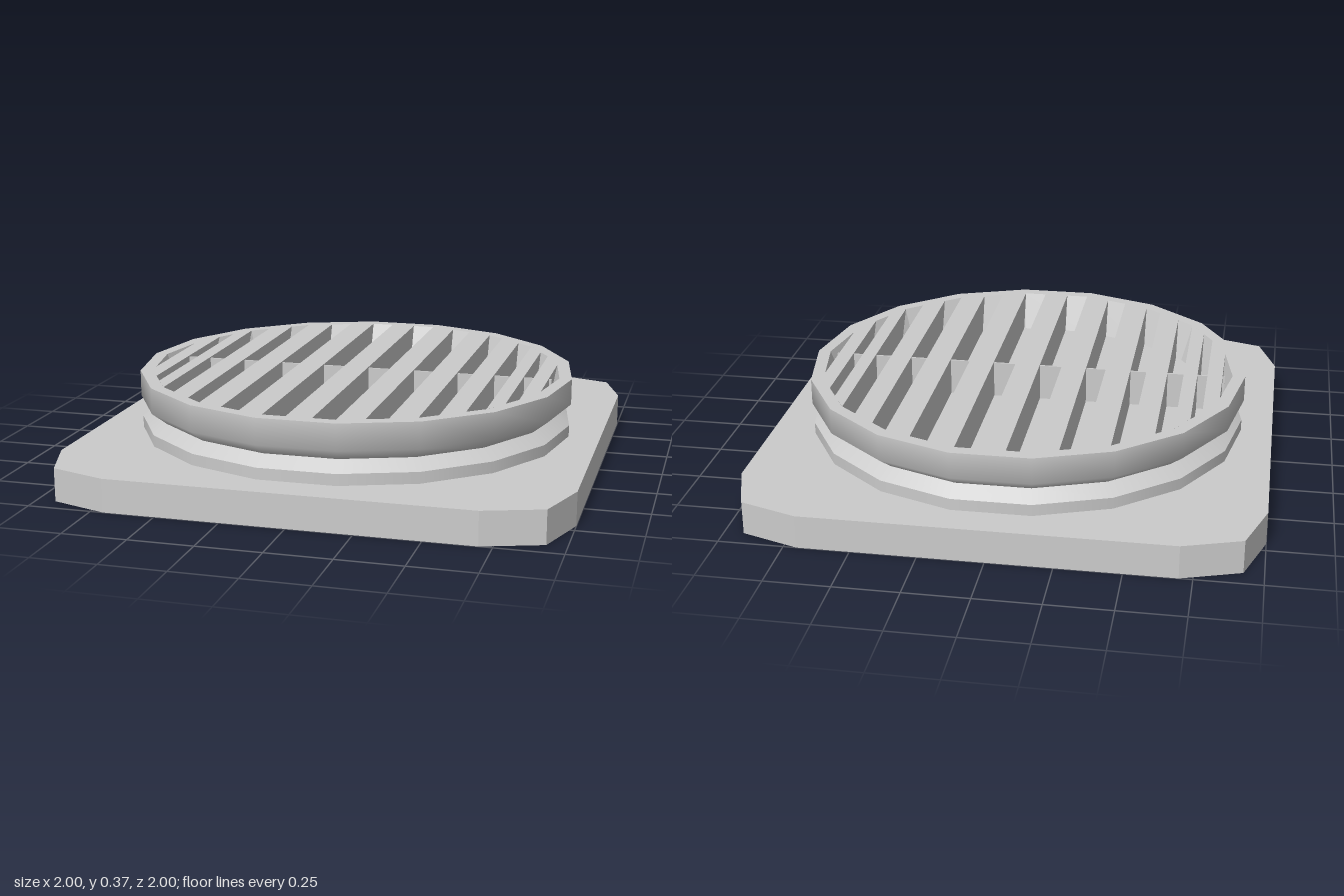
import * as THREE from 'three';

const SIDES = 18;
const TOP = 0.365, FLOOR = 0.215, BASE = 0.13;
const R_TOP = 0.83, R_FLOOR = 0.777; // inner bowl radii

const smooth = new THREE.MeshStandardMaterial({ color: 0xcccccc });
const flat = new THREE.MeshStandardMaterial({ color: 0xcccccc, flatShading: true });

function add(group, name, geometry, material) {
  const mesh = new THREE.Mesh(geometry, material);
  mesh.name = name;
  group.add(mesh);
  return mesh;
}

// One revolved band; separate bands keep a sharp edge between them
function band(group, name, points, material = smooth) {
  const profile = points.map(([r, y]) => new THREE.Vector2(r, y));
  return add(group, name, new THREE.LatheGeometry(profile, SIDES, Math.PI / 2), material);
}

// Extrude an outline of [x, z] points upwards from y0 to y1
function slab(outline, y0, y1) {
  const shape = new THREE.Shape(outline.map(([x, z]) => new THREE.Vector2(x, z)));
  const geometry = new THREE.ExtrudeGeometry(shape, { depth: y1 - y0, bevelEnabled: false });
  return geometry.rotateX(-Math.PI / 2).translate(0, y0, 0);
}

// Half depth in z of the 18-sided polygon of radius r at a given x
function halfDepth(x, r) {
  const a = Math.abs(x), step = (2 * Math.PI) / SIDES;
  for (let k = 0; k < 4; k++) {
    const x0 = r * Math.cos(k * step), x1 = r * Math.cos((k + 1) * step);
    if (a <= x0 && a >= x1) {
      const t = (x0 - a) / (x0 - x1);
      return r * THREE.MathUtils.lerp(Math.sin(k * step), Math.sin((k + 1) * step), t);
    }
  }
  return a > r ? 0 : r * Math.sin(4 * step);
}

// Grille bar between x0 and x1, its ends following the sloping bowl wall
function barGeometry(x0, x1) {
  const corners = [];
  for (let k = 0; k <= SIDES / 2; k++) {
    for (const r of [R_TOP, R_FLOOR]) {
      const x = r * Math.cos((k * 2 * Math.PI) / SIDES);
      if (x > x0 + 0.003 && x < x1 - 0.003) corners.push(x);
    }
  }
  const xs = [x0, ...corners.sort((a, b) => a - b), x1];
  const outline = [
    ...xs.map((x) => [x, -halfDepth(x, R_TOP)]),
    ...xs.slice().reverse().map((x) => [x, halfDepth(x, R_TOP)]),
  ];
  const geometry = slab(outline, FLOOR, TOP);
  const p = geometry.attributes.position;
  for (let i = 0; i < p.count; i++) {
    if (p.getY(i) > FLOOR + 0.01) continue;
    const x = p.getX(i);
    p.setZ(i, Math.sign(p.getZ(i)) * halfDepth(x, R_FLOOR));
  }
  geometry.computeVertexNormals();
  return geometry;
}

export function createModel() {
  const model = new THREE.Group();
  model.name = 'roundVent';

  // Square base plate with faceted corners
  const quarter = [[1, 0.7], [0.925, 0.925], [0.7, 1]];
  const outline = [];
  for (let q = 0; q < 4; q++) {
    for (const [x, z] of quarter) {
      const v = new THREE.Vector2(x, z).rotateAround(new THREE.Vector2(), (q * Math.PI) / 2);
      outline.push([v.x, v.y]);
    }
  }
  add(model, 'basePlate', slab(outline, 0, BASE), flat);

  // Collar and the groove below the head
  band(model, 'collar', [[0.875, BASE], [0.875, 0.175]]);
  band(model, 'grooveSlope', [[0.875, 0.175], [0.82, FLOOR]]);

  // Head: rounded outside, flat rim, sloping bowl and floor
  band(model, 'headSide', [[0.82, FLOOR], [0.88, 0.262], [0.88, TOP]]);
  band(model, 'headRim', [[0.88, TOP], [R_TOP, TOP]], flat);
  band(model, 'bowlWall', [[R_TOP, TOP], [R_FLOOR, FLOOR]], flat);
  band(model, 'bowlFloor', [[R_FLOOR, FLOOR], [0, FLOOR]], flat);

  // Parallel grille bars, mirrored about the middle one
  const grille = new THREE.Group();
  grille.name = 'grille';
  model.add(grille);
  add(grille, 'middleBar', barGeometry(-0.05, 0.05), flat);
  const bars = [[0.14, 0.24], [0.32, 0.42], [0.485, 0.57], [0.635, 0.69], [0.73, 0.79]];
  for (const [x0, x1] of bars) {
    add(grille, 'leftBar', barGeometry(x0, x1), flat);
    add(grille, 'rightBar', barGeometry(-x1, -x0), flat);
  }

  // Thin web crossing all slots
  const web = new THREE.BoxGeometry(1.6, TOP - FLOOR - 0.005, 0.008);
  add(grille, 'crossWeb', web, flat).position.y = (TOP + FLOOR - 0.005) / 2;

  return model;
}
